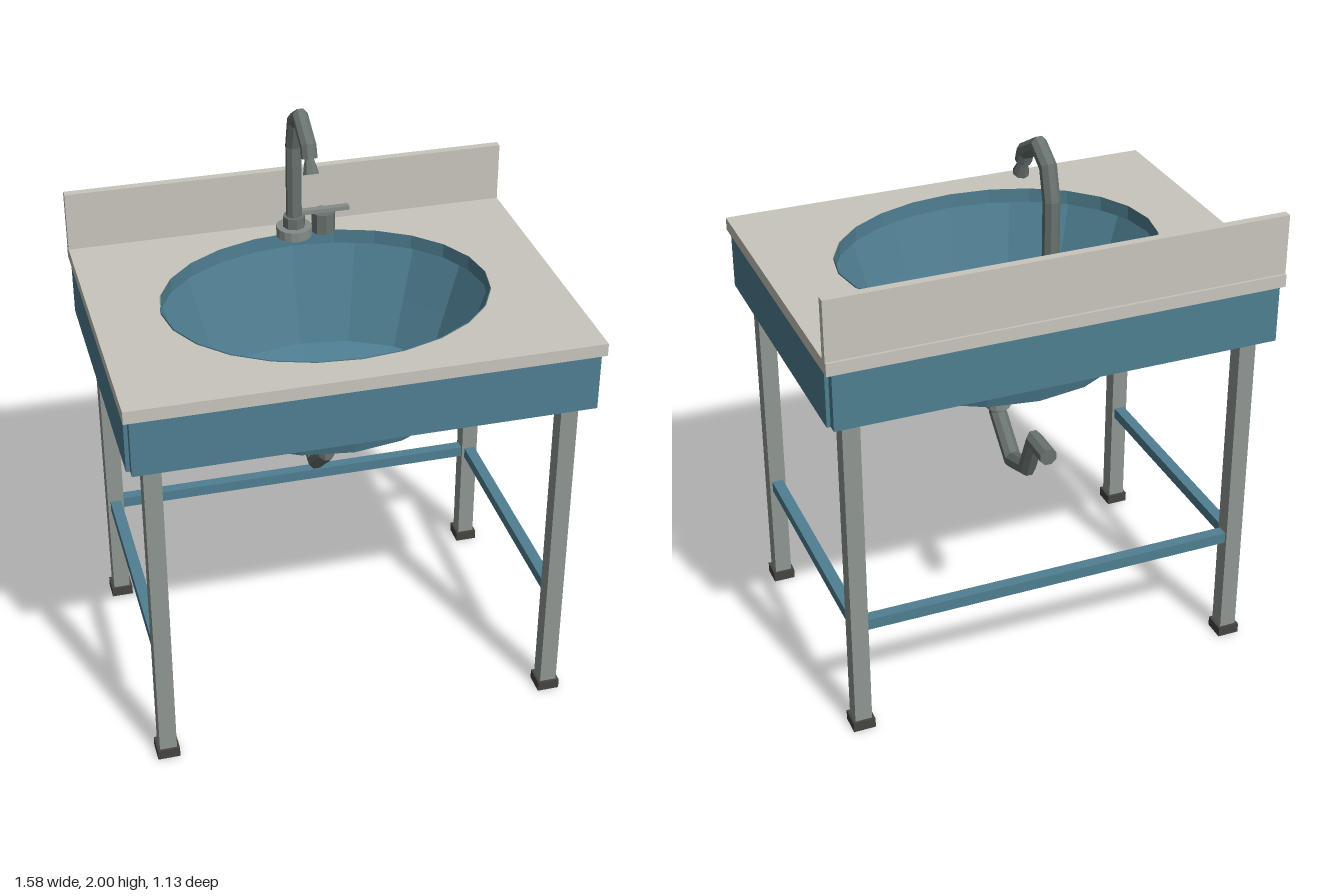
import * as THREE from 'three';

const mat = (name, color, side = THREE.FrontSide) => {
  const m = new THREE.MeshStandardMaterial({ color, side, flatShading: true });
  m.name = name;
  return m;
};

// Surface through rings of points, each ring closed on itself
function loft(rings, capStart, capEnd) {
  const n = rings[0].length, pos = rings.flat(2), idx = [];
  for (let i = 0; i < rings.length - 1; i++)
    for (let j = 0; j < n; j++) {
      const a = i * n + j, b = i * n + (j + 1) % n;
      idx.push(a, b, a + n, b, b + n, a + n);
    }
  const last = (rings.length - 1) * n;
  for (let j = 1; j < n - 1; j++) {
    if (capStart) idx.push(0, j + 1, j);
    if (capEnd) idx.push(last, last + j, last + j + 1);
  }
  const g = new THREE.BufferGeometry();
  g.setAttribute('position', new THREE.Float32BufferAttribute(pos, 3));
  g.setIndex(idx);
  const flat = g.toNonIndexed();
  flat.computeVertexNormals();
  return flat;
}

// Mitred pipe along a path of [z, y] points in the plane x = 0
function pipe(path, r, sides = 8) {
  const p = path.map(([z, y]) => new THREE.Vector2(z, y));
  const dir = i => p[i + 1].clone().sub(p[i]).normalize();
  const rings = p.map((c, i) => {
    const d0 = dir(Math.max(i - 1, 0)), d1 = dir(Math.min(i, p.length - 2));
    const t = d0.clone().add(d1).normalize();
    const k = r / t.dot(d0);
    return Array.from({ length: sides }, (_, j) => {
      const a = (j + 0.5) / sides * Math.PI * 2;
      const u = Math.sin(a) * k;
      return [Math.cos(a) * r, c.y + t.x * u, c.x - t.y * u];
    });
  });
  return loft(rings, true, true);
}

const ellipse = (rx, rz, y, n) => Array.from({ length: n }, (_, j) => {
  const a = j / n * Math.PI * 2;
  return [Math.cos(a) * rx, y, Math.sin(a) * rz];
});

export function createModel() {
  const root = new THREE.Group();
  root.name = 'washStand';
  const stone = mat('stone', 0xc8c6bc);
  const blue = mat('blueEnamel', 0x4f7f92);
  const blueOpen = mat('blueBasin', 0x4f7f92, THREE.DoubleSide);
  const steel = mat('legSteel', 0x8f9692);
  const metal = mat('pipeMetal', 0x68736f, THREE.DoubleSide);
  const fitting = mat('fittingMetal', 0x858d89);
  const rubber = mat('rubber', 0x45443f);

  const add = (name, geo, m, x = 0, y = 0, z = 0) => {
    const o = new THREE.Mesh(geo, m);
    o.name = name;
    o.position.set(x, y, z);
    root.add(o);
    return o;
  };
  // Box given by its limits
  const box = (name, m, x0, x1, y0, y1, z0, z1) =>
    add(name, new THREE.BoxGeometry(x1 - x0, y1 - y0, z1 - z0), m,
      (x0 + x1) / 2, (y0 + y1) / 2, (z0 + z1) / 2);
  const cyl = (name, m, r, y0, y1, x = 0, z = 0, n = 16) =>
    add(name, new THREE.CylinderGeometry(r, r, y1 - y0, n), m, x, (y0 + y1) / 2, z);

  // Countertop with oval opening
  const top = new THREE.Shape([[-0.79, -0.563], [0.79, -0.563], [0.79, 0.563], [-0.79, 0.563]]
    .map(([x, y]) => new THREE.Vector2(x, y)));
  top.holes.push(new THREE.Path(ellipse(0.565, 0.45, 0, 24)
    .map(([x, , z]) => new THREE.Vector2(x, z)).reverse()));
  const slab = new THREE.ExtrudeGeometry(top, { depth: 0.045, bevelEnabled: false });
  slab.rotateX(-Math.PI / 2);
  add('countertop', slab, stone, 0, 1.43, 0);
  box('backsplash', stone, -0.79, 0.79, 1.475, 1.685, -0.555, -0.526);

  // Basin: rim lining and faceted bowl
  add('basinRim', loft([ellipse(0.562, 0.447, 1.477, 24), ellipse(0.562, 0.447, 1.425, 24)]), blueOpen);
  const bowl = [[0.583, 1.43], [0.515, 1.23], [0.458, 1.065], [0.25, 1.037]];
  add('basinBowl', loft(bowl.map(([r, y]) => ellipse(r, r * 0.8, y, 16)), false, true), blueOpen);

  // Apron panels
  for (const s of [-1, 1]) {
    const front = box('apronPanel', blue, -0.772, 0.772, 1.23, 1.43, 0.525, 0.557);
    front.position.z *= s;
    const side = box('apronSide', blue, 0.755, 0.785, 1.23, 1.43, -0.525, 0.525);
    side.position.x *= s;
  }

  // Legs, feet and lower rails
  for (const x of [-0.7, 0.7]) {
    for (const z of [-0.472, 0.472]) {
      box('leg', steel, x - 0.03, x + 0.03, 0.03, 1.43, z - 0.03, z + 0.03);
      box('foot', rubber, x - 0.039, x + 0.039, 0, 0.036, z - 0.039, z + 0.039);
    }
    box('sideRail', blue, x - 0.02, x + 0.02, 0.4, 0.44, -0.445, 0.445);
  }
  box('backRail', blue, -0.672, 0.672, 0.4, 0.44, -0.492, -0.452);

  // Drain and trap
  cyl('drainRing', fitting, 0.042, 1.03, 1.043);
  cyl('drainHole', metal, 0.03, 1.035, 1.046);
  cyl('upperCollar', fitting, 0.045, 0.995, 1.036, 0, 0, 12);
  cyl('lowerCollar', fitting, 0.045, 0.85, 0.89, 0, 0, 12);
  add('trapPipe', pipe([[0, 1.03], [0, 0.825], [-0.137, 0.705], [-0.265, 0.748],
    [-0.33, 0.89], [-0.445, 0.89]], 0.031), metal);

  // Tap
  const tz = -0.437;
  cyl('tapBase', fitting, 0.064, 1.475, 1.51, 0, tz, 16);
  add('tapSpout', pipe([[tz, 1.5], [tz, 1.82], [-0.407, 1.925], [-0.335, 1.968],
    [-0.228, 1.908], [-0.215, 1.87]], 0.028), metal);
  const nozzle = add('tapNozzle', new THREE.CylinderGeometry(0.012, 0.028, 0.07, 8), metal, 0, 1.852, -0.209);
  nozzle.rotation.x = -0.45;
  cyl('tapCollar', metal, 0.04, 1.51, 1.55, 0, tz, 8);
  cyl('valveKnob', metal, 0.043, 1.475, 1.55, 0.108, -0.443, 8);
  box('valveLever', fitting, 0.025, 0.2, 1.55, 1.565, -0.452, -0.428);

  return root;
}
